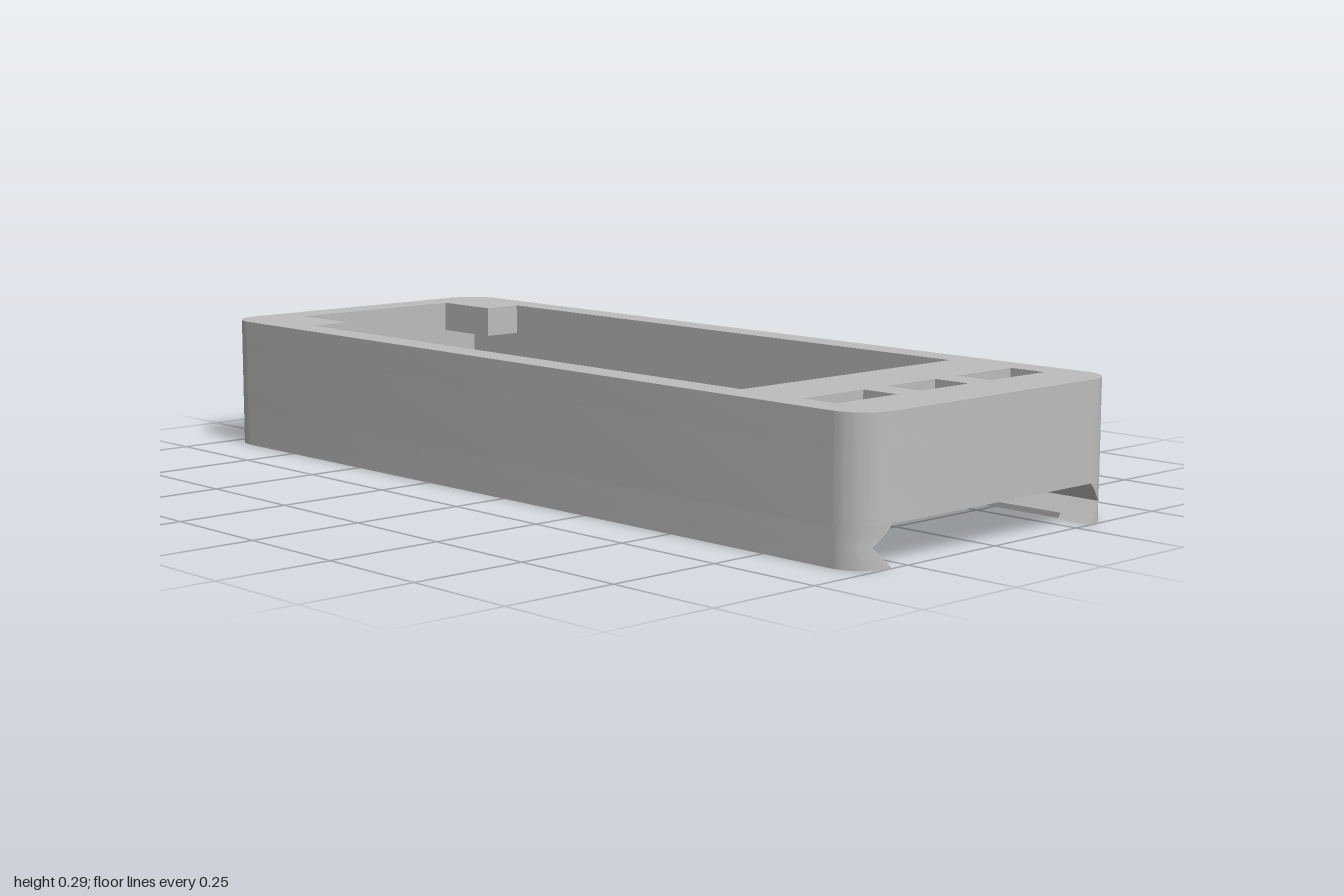
import * as THREE from 'three';
import { toCreasedNormals } from 'three/addons/utils/BufferGeometryUtils.js';

const CX = 0.92, CZ = 0.294, R = 0.08;   // corner centres and radius
const INNER = 0.305;                     // cavity half-width
const GROOVE_TOP = 0.083, PLATE_Y = 0.222, TOP = 0.29;
const SEGS = 12;

const shell = new THREE.MeshStandardMaterial({ color: 0xbdbdbd });
shell.name = 'shell grey';

function part(name, geometry) {
  const mesh = new THREE.Mesh(toCreasedNormals(geometry, 0.5), shell);
  mesh.name = name;
  return mesh;
}

function roundedOutline() {
  const s = new THREE.Shape();
  s.absarc(CX, CZ, R, 0, Math.PI / 2);
  s.absarc(-CX, CZ, R, Math.PI / 2, Math.PI);
  s.absarc(-CX, -CZ, R, Math.PI, Math.PI * 1.5);
  s.absarc(CX, -CZ, R, Math.PI * 1.5, Math.PI * 2);
  s.closePath();
  return s;
}

const hole = (pts) => new THREE.Path(pts.map(([x, y]) => new THREE.Vector2(x, y)));
const rect = (x0, x1, y0, y1) => hole([[x0, y0], [x0, y1], [x1, y1], [x1, y0]]);

// Rounded slab with openings, standing between two heights
function slab(y0, y1, holes) {
  const s = roundedOutline();
  s.holes.push(...holes);
  const g = new THREE.ExtrudeGeometry(s, { depth: y1 - y0, bevelEnabled: false, curveSegments: SEGS });
  return g.rotateX(-Math.PI / 2).translate(0, y0, 0);
}

// U-shaped plan, open at +x; h is the half-width of the lid slot at that height
function railOutline(h) {
  const pts = [], g = Math.max(h, INNER);
  const a = Math.asin((h - CZ) / R), q = Math.PI / 2;
  const arc = (cx, cz, from, to) => {
    for (let i = 0; i <= SEGS; i++) {
      const t = from + (to - from) * i / SEGS;
      pts.push(new THREE.Vector2(cx + R * Math.cos(t), cz + R * Math.sin(t)));
    }
  };
  arc(CX, CZ, a, q);
  arc(-CX, CZ, q, 2 * q);
  arc(-CX, -CZ, 2 * q, 3 * q);
  arc(CX, -CZ, 3 * q, 4 * q - a);
  for (const [x, z] of [[CX, -h], [CX, -g], [-CX, -g], [-CX, g], [CX, g], [CX, h]]) {
    pts.push(new THREE.Vector2(x, z));
  }
  return pts;
}

// Lower rim lofted through the heights of the V-shaped slot
function railGeometry() {
  const levels = [[0, 0.294], [0.0113, INNER], [0.0415, 0.335], [0.0717, INNER], [GROOVE_TOP, 0.294]];
  const rings = levels.map(([, h]) => railOutline(h));
  const n = rings[0].length, pos = [], index = [];
  rings.forEach((ring, k) => ring.forEach((p) => pos.push(p.x, levels[k][0], -p.y)));
  for (let k = 0; k < rings.length - 1; k++) {
    for (let i = 0; i < n; i++) {
      const a = k * n + i, b = k * n + (i + 1) % n;
      index.push(a, b, b + n, a, b + n, a + n);
    }
  }
  for (const [a, b, c] of THREE.ShapeUtils.triangulateShape(rings[0], [])) index.push(a, c, b);
  const g = new THREE.BufferGeometry();
  g.setAttribute('position', new THREE.Float32BufferAttribute(pos, 3));
  g.setIndex(index);
  return g;
}

export function createModel() {
  const model = new THREE.Group();
  model.name = 'enclosure';

  // Bottom rim with the sliding lid slot
  model.add(part('lidRails', railGeometry()));

  // Hollow side walls
  model.add(part('sideWalls', slab(GROOVE_TOP, PLATE_Y, [rect(-CX, CX, -INNER, INNER)])));

  // Top frame: main window with two corner tabs, and three button openings
  const tabX = -0.755, tabZ = 0.213, winX = 0.625;
  const windowHole = hole([
    [-CX, -tabZ], [-CX, tabZ], [tabX, tabZ], [tabX, INNER],
    [winX, INNER], [winX, -INNER], [tabX, -INNER], [tabX, -tabZ],
  ]);
  const buttons = [[-INNER, -0.138], [-0.071, 0.071], [0.138, INNER]]
    .map(([z0, z1]) => rect(0.785, 0.87, z0, z1));
  model.add(part('topFrame', slab(PLATE_Y, TOP, [windowHole, ...buttons])));

  return model;
}
